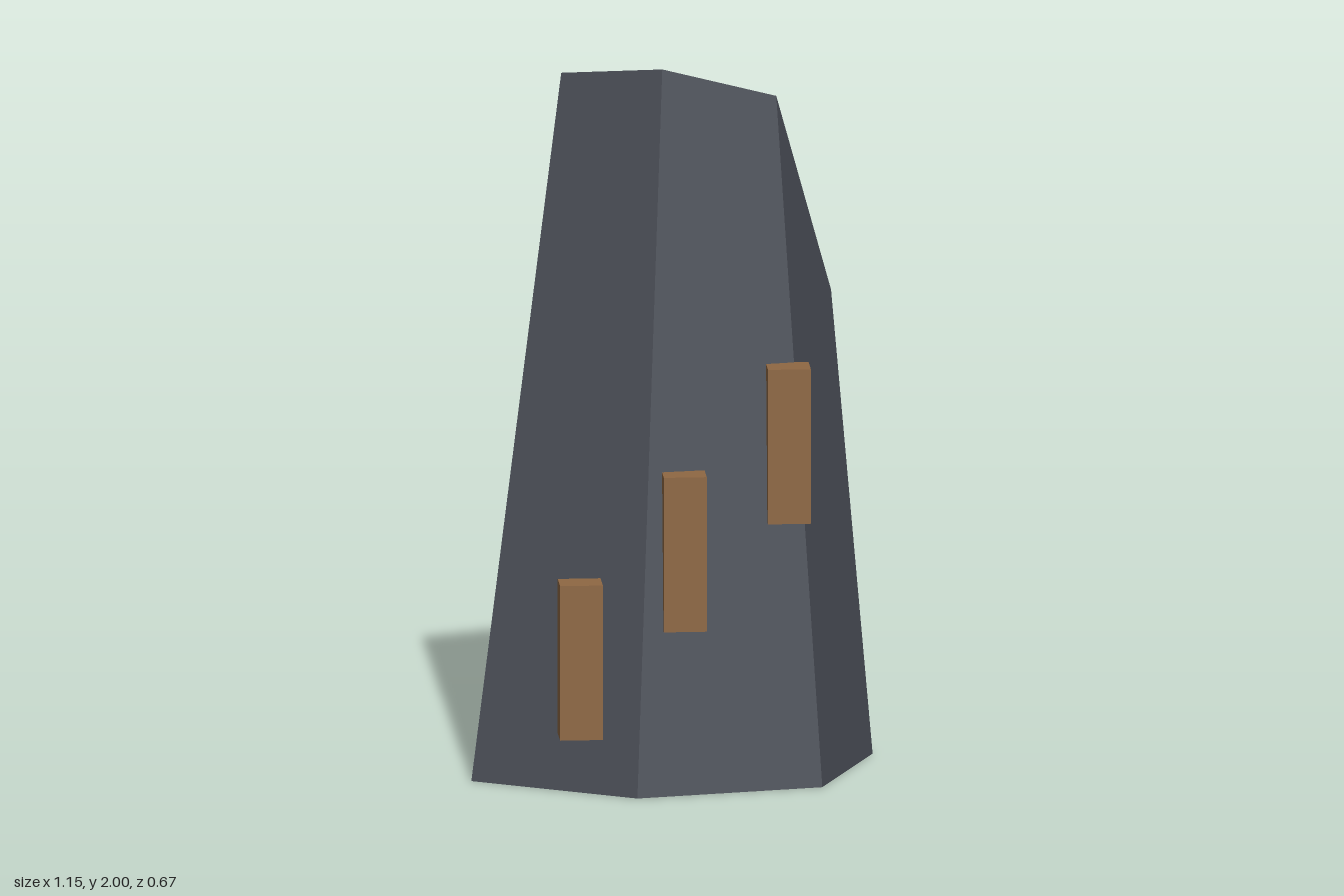
import * as THREE from 'three';

// Rock outline at the ground and at the slanted top, in matching order
const BASE = [
  [-0.575, 0, -0.045], [-0.21, 0, 0.3], [0.315, 0, 0.333],
  [0.575, 0, -0.005], [0.255, 0, -0.335], [-0.305, 0, -0.332],
];
const TOP = [
  [-0.302, 1.97, -0.082], [-0.067, 2, 0.09], [0.248, 1.912, 0.136],
  [0.473, 1.305, -0.06], [0.235, 1.64, -0.237], [-0.035, 1.73, -0.315],
];

// Facets are fans that each share one normal, so every facet reads as flat
function facetGeometry(facets) {
  const positions = [], normals = [];
  for (const facet of facets) {
    const pts = facet.map((p) => new THREE.Vector3(...p));
    const normal = new THREE.Vector3();
    pts.forEach((p, i) => normal.add(p.clone().cross(pts[(i + 1) % pts.length])));
    normal.normalize();
    for (let i = 1; i < pts.length - 1; i++) {
      for (const p of [pts[0], pts[i], pts[i + 1]]) {
        positions.push(p.x, p.y, p.z);
        normals.push(normal.x, normal.y, normal.z);
      }
    }
  }
  const geometry = new THREE.BufferGeometry();
  geometry.setAttribute('position', new THREE.Float32BufferAttribute(positions, 3));
  geometry.setAttribute('normal', new THREE.Float32BufferAttribute(normals, 3));
  return geometry;
}

export function createModel() {
  const model = new THREE.Group();
  model.name = 'steppedRock';

  const stone = new THREE.MeshStandardMaterial({ color: 0x4a4e57 });
  stone.name = 'slate stone';
  const wood = new THREE.MeshStandardMaterial({ color: 0x8f6843 });
  wood.name = 'brown wood';

  // Rock: six leaning sides, a slanted cap and a flat underside
  const sides = BASE.map((p, i) => {
    const j = (i + 1) % BASE.length;
    return [p, BASE[j], TOP[j], TOP[i]];
  });
  const cap = [...TOP.slice(4), ...TOP.slice(0, 4)];
  const underside = [...BASE].reverse();
  const rock = new THREE.Mesh(facetGeometry([...sides, cap, underside]), stone);
  rock.name = 'rock';
  model.add(rock);

  // Wooden pegs climbing across the front
  const pegGeometry = new THREE.BoxGeometry(0.118, 0.436, 0.088);
  [[-0.358, 0.392], [-0.057, 0.675], [0.245, 0.957]].forEach(([x, y], i) => {
    const peg = new THREE.Mesh(pegGeometry, wood);
    peg.name = `peg${i + 1}`;
    peg.position.set(x, y, 0.248);
    peg.rotation.y = -0.25;
    model.add(peg);
  });

  return model;
}
